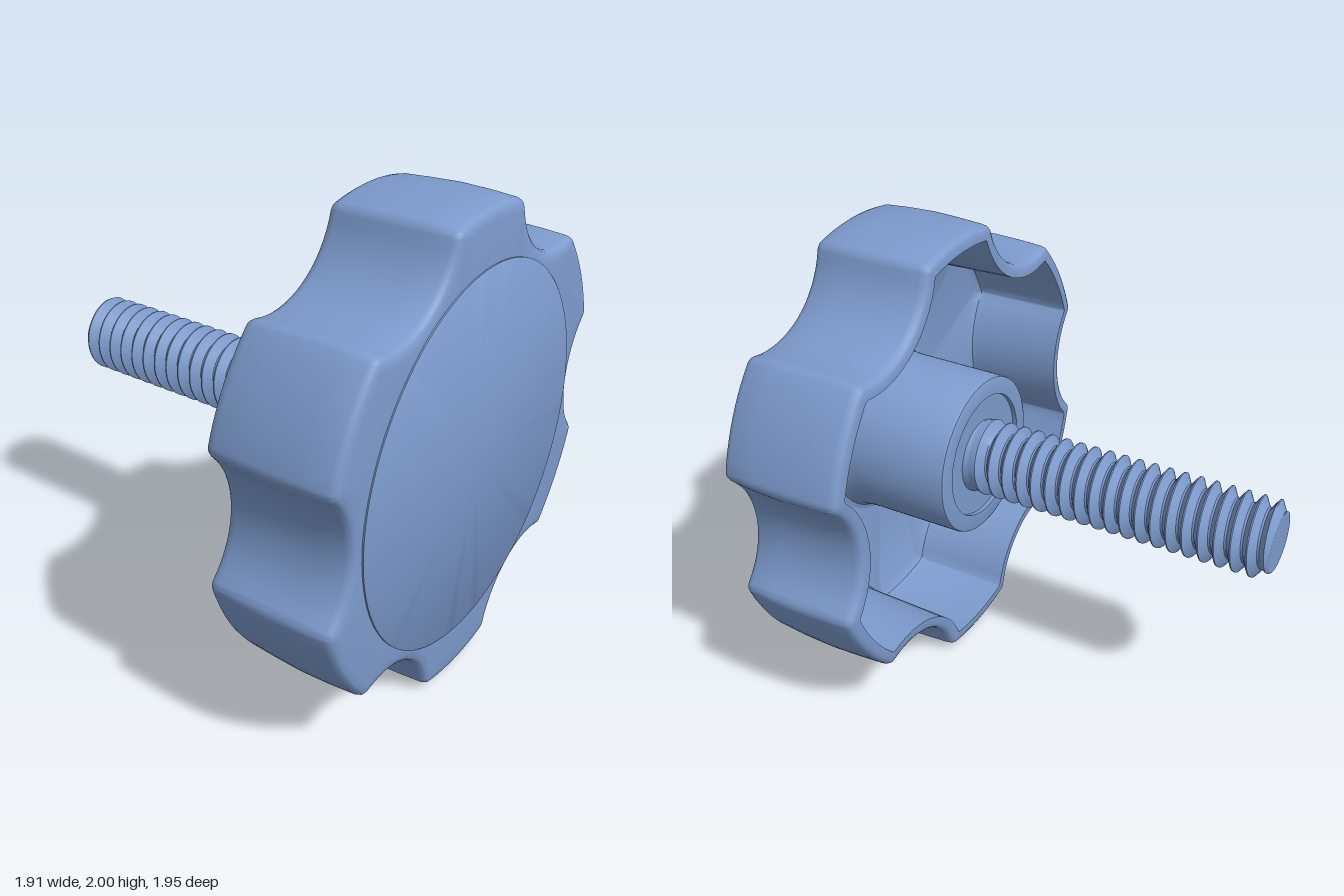
import * as THREE from 'three';
import { toCreasedNormals } from 'three/addons/utils/BufferGeometryUtils.js';

const TAU = Math.PI * 2;

// Skin a list of rings (arrays of [x, y, z], counter-clockwise seen from +z), front to back
function loft(rings, closed = true, crease = 0.65) {
  const n = rings[0].length;
  const index = [];
  for (let i = 0; i < rings.length - 1; i++) {
    for (let j = 0; j < (closed ? n : n - 1); j++) {
      const k = (j + 1) % n;
      const a = i * n + j, b = (i + 1) * n + j, c = (i + 1) * n + k, d = i * n + k;
      index.push(a, b, c, a, c, d);
    }
  }
  const g = new THREE.BufferGeometry();
  g.setAttribute('position', new THREE.Float32BufferAttribute(rings.flat(2), 3));
  g.setIndex(index);
  return toCreasedNormals(g, crease);
}

const circle = (r, z, n = 96) =>
  Array.from({ length: n }, (_, j) => [r * Math.cos(j / n * TAU), r * Math.sin(j / n * TAU), z]);

// Six-lobed outline, moved inwards by d
function lobedRing(d, z) {
  const c = 1.19, R = 0.35 + d, lobe = 1 - d;
  const f = Math.max(0.06 - d, 0.015);
  const px = ((lobe - f) ** 2 + c * c - (R + f) ** 2) / (2 * c);
  const py = Math.sqrt((lobe - f) ** 2 - px * px);
  const alpha = Math.atan2(py, c - px), gamma = Math.atan2(py, px);
  const sector = [];
  const arc = (x, y, r, from, to, n) => {
    for (let i = 0; i < n; i++) {
      const t = from + (to - from) * i / n;
      sector.push([x + r * Math.cos(t), y + r * Math.sin(t)]);
    }
  };
  arc(px, -py, f, -gamma, alpha, 7);                          // corner into the scallop
  arc(c, 0, R, Math.PI + alpha, Math.PI - alpha, 16);         // scallop
  arc(px, py, f, -alpha, gamma, 7);                           // corner out of the scallop
  arc(0, 0, lobe, gamma, Math.PI / 3 - gamma, 10);            // lobe
  const ring = [];
  for (let s = 0; s < 6; s++) {
    const co = Math.cos(s * TAU / 6), si = Math.sin(s * TAU / 6);
    for (const [x, y] of sector) ring.push([x * co - y * si, x * si + y * co, z]);
  }
  return ring;
}

// Same point directions as the lobed outline, but on a circle
const roundRing = (r, z) => lobedRing(0, z).map(([x, y]) => {
  const l = Math.hypot(x, y);
  return [x / l * r, y / l * r, z];
});

// Helical thread with a chamfered tip and a run-out at the hub
function threadGeometry() {
  const pitch = 0.0675, major = 0.166, minor = 0.125, top = 0.39, tip = -0.975, n = 48;
  const profile = [[0, major], [0.08, major], [0.47, minor], [0.61, minor]];
  const turns = Math.ceil((top - tip) / pitch) + 1;
  const rings = [];
  for (let t = 0; t <= turns; t++) {
    for (const [off, radius] of profile) {
      rings.push(Array.from({ length: n + 1 }, (_, j) => {
        const a = j / n * TAU;
        const z = THREE.MathUtils.clamp(top - (t + off - j / n) * pitch, tip, top);
        let r = Math.min(radius, 0.125 + (z - tip) * 1.5);
        r = Math.max(r, Math.min(0.157, 0.125 + (z - 0.3) * 1.5));
        return [r * Math.cos(a), r * Math.sin(a), z];
      }));
    }
  }
  rings.push(Array.from({ length: n + 1 }, () => [0, 0, tip]));
  return loft(rings, false, 0.5);
}

export function createModel() {
  const group = new THREE.Group();
  const blue = new THREE.MeshStandardMaterial({ color: 0x7c9acc });
  blue.name = 'steelBlue';

  const add = (name, geometry) => {
    const mesh = new THREE.Mesh(geometry, blue);
    mesh.name = name;
    mesh.position.y = 1;
    group.add(mesh);
  };

  // Hollow knob shell: front face, bulged side, rim, inner wall, floor
  const shell = [
    [0.06, 0.963], [0.032, 0.959], [0.02, 0.95], [0.012, 0.93], [0.004, 0.82], [0, 0.7],
    [0.004, 0.58], [0.01, 0.47], [0.014, 0.45], [0.022, 0.438], [0.036, 0.431], [0.07, 0.431],
    [0.08, 0.85], [0.088, 0.88], [0.115, 0.9],
  ];
  add('knobShell', loft([
    roundRing(0.74, 0.965),
    ...shell.map(([d, z]) => lobedRing(d, z)),
    roundRing(0.3, 0.9),
  ]));

  // Raised round cap on the front
  add('frontCap', loft([[0, 0.975], [0.768, 0.975], [0.775, 0.97], [0.775, 0.95]]
    .map(([r, z]) => circle(r, z))));

  // Hub with a filleted foot and a shallow recess around the screw
  add('hub', loft([
    [0.4, 0.902], [0.375, 0.893], [0.362, 0.87], [0.355, 0.8], [0.353, 0.376], [0.349, 0.365],
    [0.338, 0.36], [0.275, 0.36], [0.275, 0.38], [0, 0.38],
  ].map(([r, z]) => circle(r, z))));

  add('threadedScrew', threadGeometry());
  return group;
}
